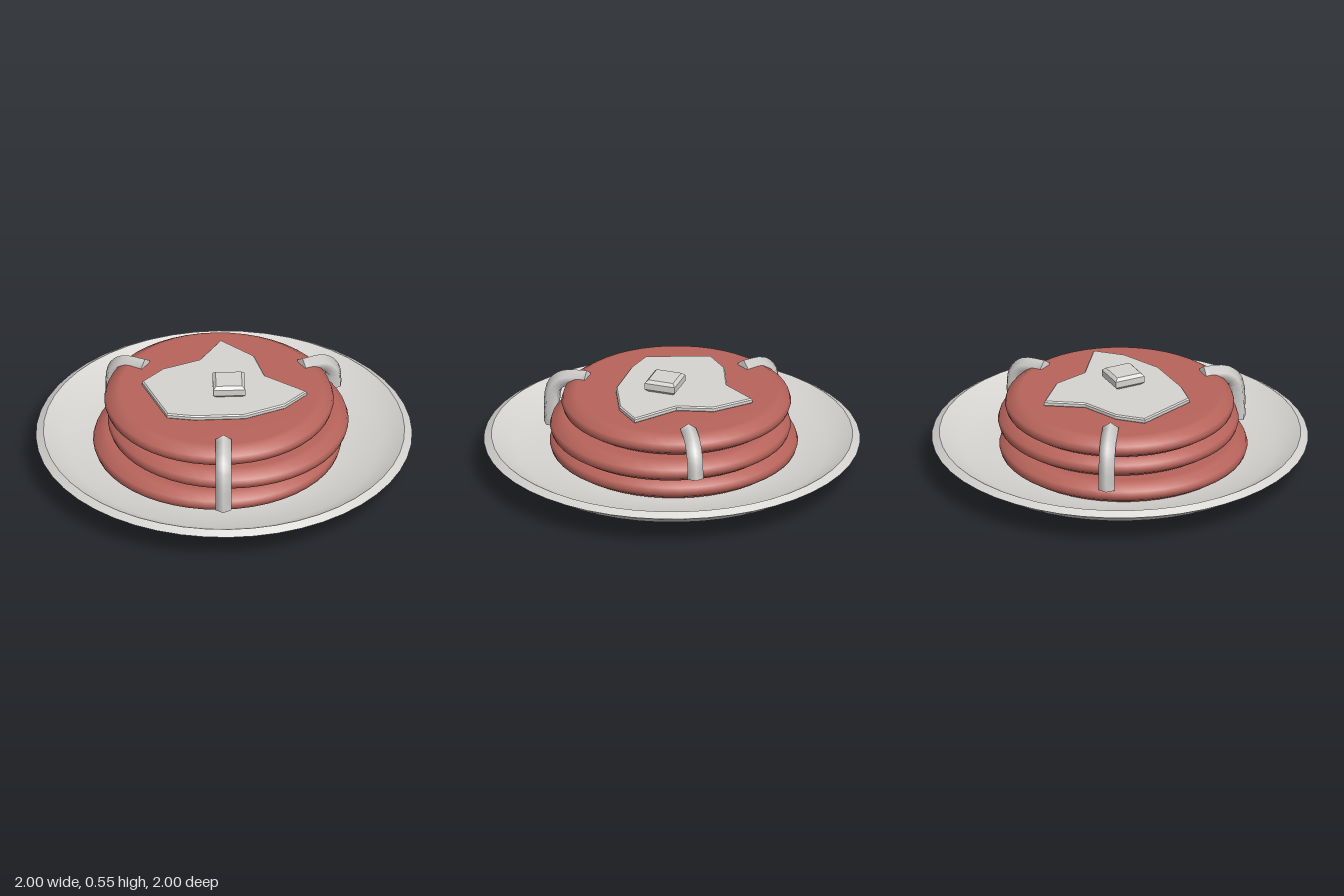
import * as THREE from 'three';

const mat = (name, color) => {
  const m = new THREE.MeshStandardMaterial({ color });
  m.name = name;
  return m;
};

export function createModel() {
  const group = new THREE.Group();
  const cream = mat('warm pale grey', 0xd6d4d1);
  const red = mat('brick red', 0xb8645b);

  const add = (name, geometry, material, x = 0, y = 0, z = 0) => {
    const mesh = new THREE.Mesh(geometry, material);
    mesh.name = name;
    mesh.position.set(x, y, z);
    group.add(mesh);
    return mesh;
  };
  const lathe = (pts) => new THREE.LatheGeometry(pts.map(([r, y]) => new THREE.Vector2(r, y)), 48);

  // Plate: underside, rim and bowl are separate so the rim edges stay sharp
  add('plateUnderside', lathe([[0, 0], [0.555, 0], [0.6, 0.05], [0.86, 0.09], [1, 0.175]]), cream);
  add('plateRim', lathe([[1, 0.175], [0.96, 0.2]]), cream);
  add('plateBowl', lathe([[0.96, 0.2], [0.83, 0.125], [0.6, 0.09], [0, 0.08]]), cream);

  // Stacked discs with rounded edges: [radius, x, bottom y, z]
  const discs = [[0.66, -0.03, 0.09, 0.02], [0.64, 0.02, 0.21, -0.01], [0.61, -0.03, 0.33, 0]];
  discs.forEach(([r, x, y, z], i) => {
    const profile = [[0, 0], [r - 0.08, 0], [r - 0.05, 0.007], [r - 0.008, 0.035], [r, 0.06],
      [r - 0.008, 0.085], [r - 0.05, 0.113], [r - 0.08, 0.12], [0, 0.12]];
    add('pancake' + (i + 1), lathe(profile), red, x, y, z);
  });

  // Flat jagged puddle on the top disc
  const outline = [[-0.23, -0.39], [0, -0.34], [0.14, -0.2], [0.41, -0.17], [0.37, 0], [0.23, 0.19],
    [0, 0.33], [-0.14, 0.38], [-0.41, 0.16], [-0.37, 0], [-0.24, -0.17]];
  const slab = (pts, depth, bevel) => new THREE.ExtrudeGeometry(
    new THREE.Shape(pts.map(([x, z]) => new THREE.Vector2(x, -z))),
    { depth, bevelEnabled: true, bevelThickness: bevel, bevelSize: bevel, bevelOffset: -bevel, bevelSegments: 1 }
  ).translate(0, 0, bevel).rotateX(-Math.PI / 2);
  add('creamPuddle', slab(outline, 0.016, 0.007), cream, 0, 0.448, 0);

  // Chamfered pat in the middle
  const h = 0.085;
  const pat = add('butterPat', slab([[-h, -h], [h, -h], [h, h], [-h, h]], 0.035, 0.016), cream, 0.037, 0.478, 0.015);
  pat.rotation.y = Math.PI / 6;

  // Drip: five-sided section, ridge outward, swept over the edge along +x
  const drip = (bottom) => {
    const curve = new THREE.CatmullRomCurve3([[0.48, 0.445], [0.61, 0.425], [0.672, 0.36], [0.685, bottom]]
      .map(([x, y]) => new THREE.Vector3(x, y, 0)));
    const n = 12, sides = 5, radius = 0.045, pos = [], idx = [];
    for (let i = 0; i <= n; i++) {
      const p = curve.getPoint(i / n), t = curve.getTangent(i / n);
      for (let j = 0; j < sides; j++) {
        const a = (j / sides) * Math.PI * 2;
        const out = Math.cos(a) * radius;
        pos.push(p.x - t.y * out, p.y + t.x * out, Math.sin(a) * radius);
      }
    }
    for (let i = 0; i < n; i++) {
      for (let j = 0; j < sides; j++) {
        const a = i * sides + j, b = i * sides + (j + 1) % sides;
        idx.push(a, b, a + sides, b, b + sides, a + sides);
      }
    }
    // End caps use their own vertices
    for (const end of [0, n]) {
      const base = pos.length / 3;
      pos.push(...pos.slice(end * sides * 3, (end + 1) * sides * 3));
      for (let j = 1; j < sides - 1; j++) {
        idx.push(base, base + (end ? j : j + 1), base + (end ? j + 1 : j));
      }
    }
    const g = new THREE.BufferGeometry();
    g.setAttribute('position', new THREE.Float32BufferAttribute(pos, 3));
    g.setIndex(idx);
    g.computeVertexNormals();
    return g;
  };
  [['rightDrip', 178, 0.19], ['backDrip', 59.5, 0.26], ['frontDrip', -62, 0.15]].forEach(([name, deg, bottom]) => {
    add(name, drip(bottom), cream).rotation.y = THREE.MathUtils.degToRad(deg);
  });

  return group;
}
